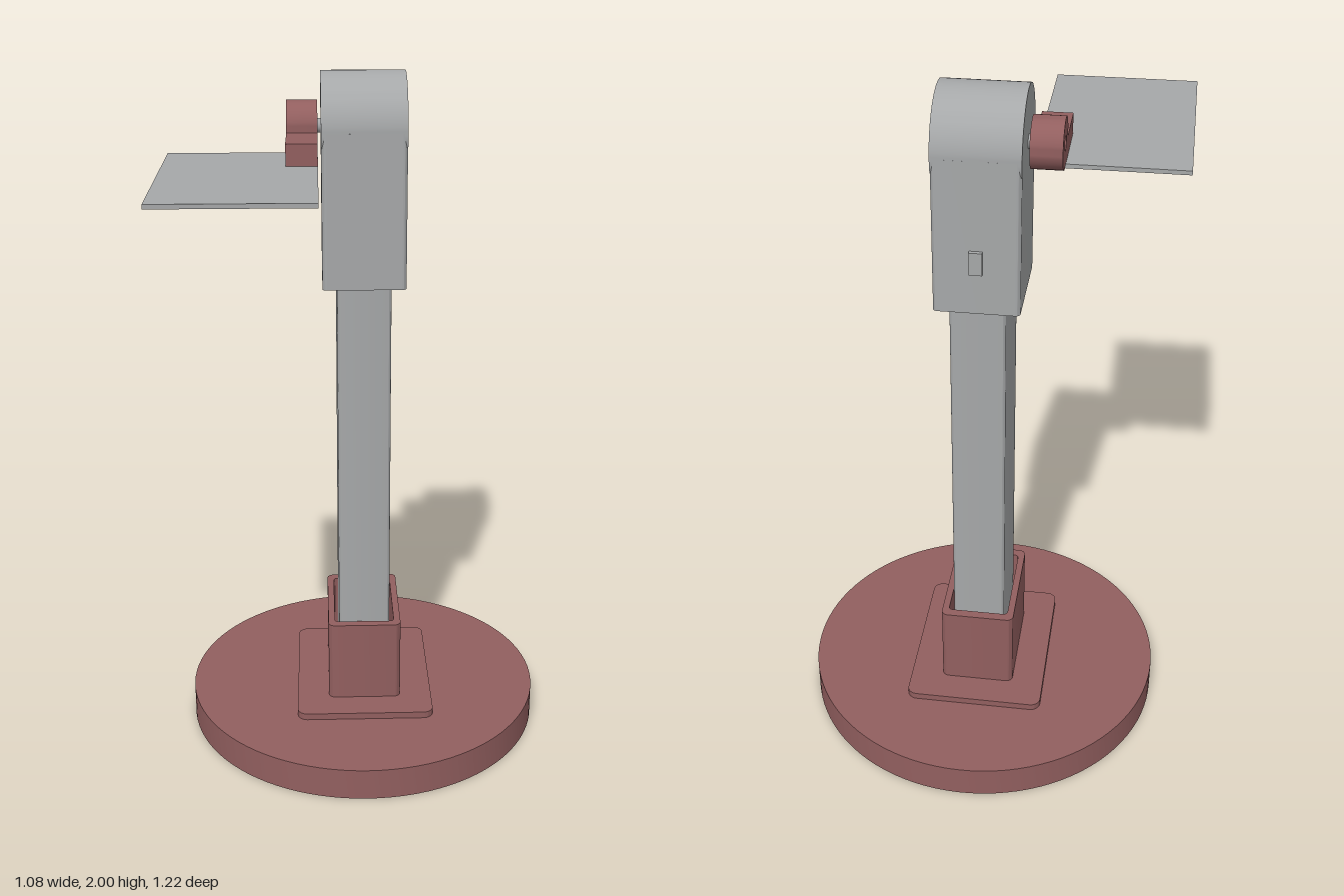
import * as THREE from 'three';
import { toCreasedNormals } from 'three/addons/utils/BufferGeometryUtils.js';

const CZ = -0.076; // z of the stand's axis

function roundedRect(w, d, r, Target = THREE.Shape) {
  const s = new Target(), x = w / 2, y = d / 2;
  s.moveTo(-x + r, -y);
  s.lineTo(x - r, -y);
  s.absarc(x - r, -y + r, r, -Math.PI / 2, 0, false);
  s.lineTo(x, y - r);
  s.absarc(x - r, y - r, r, 0, Math.PI / 2, false);
  s.lineTo(-x + r, y);
  s.absarc(-x + r, y - r, r, Math.PI / 2, Math.PI, false);
  s.lineTo(-x, -y + r);
  s.absarc(-x + r, -y + r, r, Math.PI, Math.PI * 1.5, false);
  return s;
}

// Extrudes a shape and keeps only its sharp edges sharp
function extrude(shape, depth) {
  const g = new THREE.ExtrudeGeometry(shape, { depth, bevelEnabled: false, curveSegments: 24 });
  return toCreasedNormals(g, 0.6);
}

// Upright prism on a floor-plan shape
function prism(shape, y0, y1) {
  return extrude(shape, y1 - y0).rotateX(-Math.PI / 2).translate(0, y0, CZ);
}

// Box from its lower and upper corners
function boxBetween(a, b) {
  return new THREE.BoxGeometry(b[0] - a[0], b[1] - a[1], b[2] - a[2])
    .translate((a[0] + b[0]) / 2, (a[1] + b[1]) / 2, (a[2] + b[2]) / 2);
}

export function createModel() {
  const red = new THREE.MeshStandardMaterial({ color: 0x925f5f });
  red.name = 'dusty red';
  const grey = new THREE.MeshStandardMaterial({ color: 0xa6a8a9 });
  grey.name = 'light grey';

  const group = new THREE.Group();
  group.name = 'stand';
  const add = (name, geometry, material) => {
    const mesh = new THREE.Mesh(geometry, material);
    mesh.name = name;
    group.add(mesh);
  };

  // Round base with a grey pad let into the underside
  const profile = [[0.42, 0.004], [0.42, 0], [0.537, 0], [0.537, 0.095], [0, 0.095]]
    .map(([x, y]) => new THREE.Vector2(x, y));
  add('base', toCreasedNormals(new THREE.LatheGeometry(profile, 96).translate(0, 0, CZ), 0.6), red);
  add('basePad', new THREE.CylinderGeometry(0.419, 0.419, 0.008, 96).translate(0, 0.005, CZ), grey);

  // Flange and hollow socket
  add('flange', prism(roundedRect(0.412, 0.53, 0.03), 0.09, 0.115), red);
  const socket = roundedRect(0.22, 0.342, 0.02);
  socket.holes.push(roundedRect(0.18, 0.288, 0.012, THREE.Path));
  add('socket', prism(socket, 0.113, 0.365), red);

  // Column
  add('column', prism(roundedRect(0.154, 0.254, 0.01), 0.113, 1.45), grey);

  // Head: box with softened upright edges below a half-round cap
  add('headBody', prism(roundedRect(0.236, 0.3, 0.013), 1.415, 1.85), grey);
  const cap = new THREE.Shape();
  cap.moveTo(0.13, -0.04);
  cap.lineTo(0.1446, -0.04);
  cap.absarc(0, 0, 0.15, -0.27, Math.PI + 0.27, false);
  cap.lineTo(0.13, -0.04);
  add('headCap', extrude(cap, 0.236).translate(0, 0, -0.118)
    .rotateY(Math.PI / 2).translate(0, 1.85, CZ), grey);
  add('backButton', boxBetween([-0.018, 1.535, -0.238], [0.018, 1.6, -0.22]), grey);

  // Side pivot: axle, bored hub and arm
  add('axle', new THREE.CylinderGeometry(0.02, 0.02, 0.1, 32)
    .rotateZ(Math.PI / 2).translate(-0.155, 1.85, CZ), grey);
  const hub = new THREE.Shape();
  hub.absarc(0, 0, 0.07, 0, Math.PI * 2, false);
  const bore = new THREE.Path();
  bore.absarc(0, 0, 0.021, 0, Math.PI * 2, false);
  hub.holes.push(bore);
  add('hub', extrude(hub, 0.086).rotateY(Math.PI / 2).translate(-0.213, 1.85, CZ), red);
  add('arm', boxBetween([-0.2128, 1.779, -0.045], [-0.1272, 1.84, 0.16]), red);

  // Flat plate with a thin pad underneath
  add('plate', boxBetween([-0.543, 1.768, -0.047], [-0.127, 1.78, 0.61]), grey);
  add('platePad', boxBetween([-0.455, 1.759, 0.17], [-0.215, 1.769, 0.405]), grey);

  return group;
}
